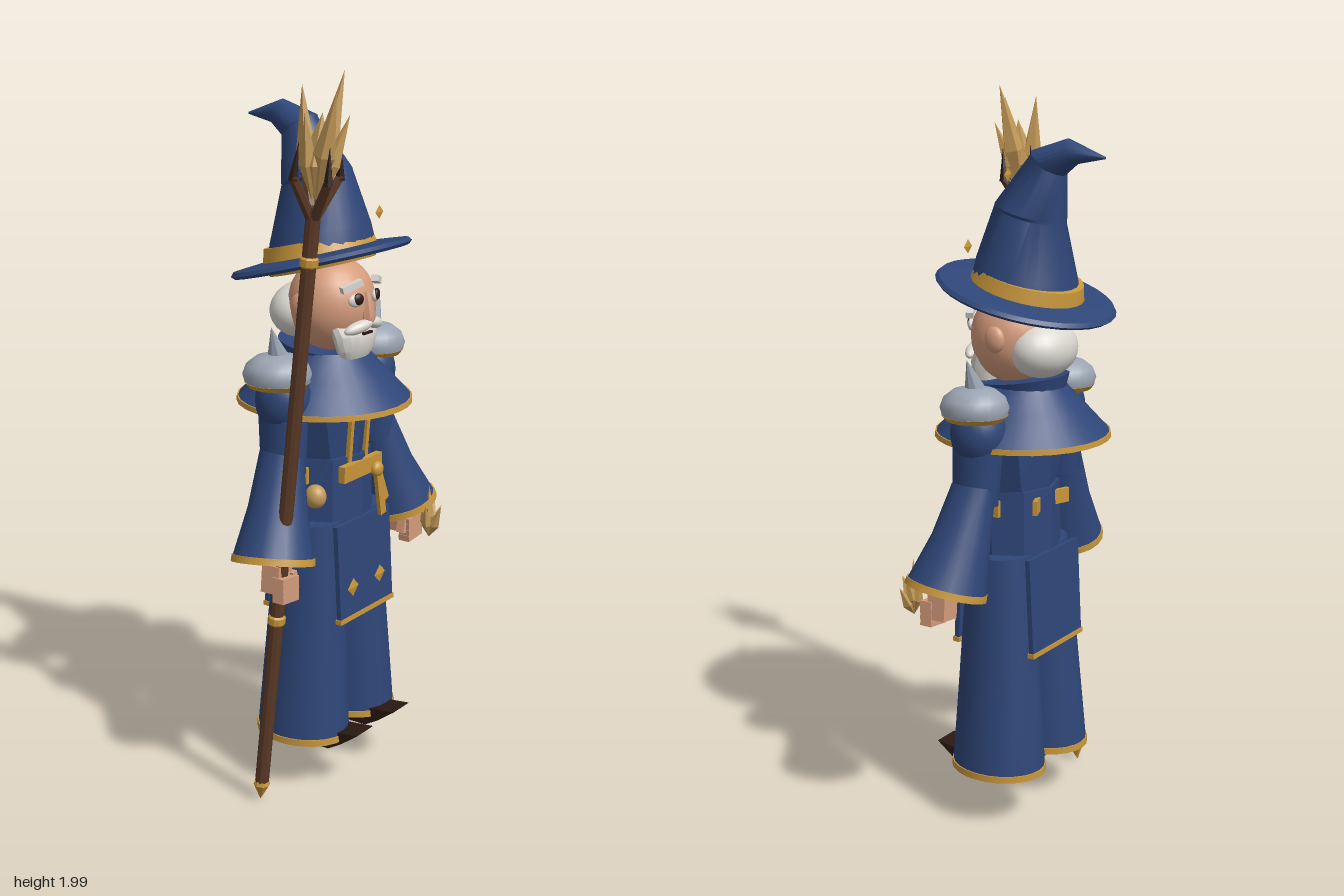
import * as THREE from 'three';
import { toCreasedNormals } from 'three/addons/utils/BufferGeometryUtils.js';

const material = (name, color) => {
  const m = new THREE.MeshStandardMaterial({ color });
  m.name = name;
  return m;
};
const V = (x, y, z) => new THREE.Vector3(x, y, z);

// Closed skin over elliptical rings, each [x, y, z, radiusX, radiusZ, tiltX, tiltZ], bottom to top
function loft(rings, sides = 24, crease = 0.6) {
  const pos = [], idx = [], n = sides;
  rings.forEach(([x, y, z, rx, rz, tx = 0, tz = 0]) => {
    const e = new THREE.Euler(tx, 0, tz);
    for (let i = 0; i < n; i++) {
      const t = (i / n) * Math.PI * 2;
      pos.push(...V(rx * Math.sin(t), 0, rz * Math.cos(t)).applyEuler(e).add(V(x, y, z)));
    }
  });
  const last = rings.length - 1, c0 = pos.length / 3;
  pos.push(...rings[0].slice(0, 3), ...rings[last].slice(0, 3));
  for (let i = 0; i < n; i++) {
    const j = (i + 1) % n;
    for (let k = 0; k < last; k++) {
      const a = k * n + i, b = k * n + j;
      idx.push(a, b, b + n, a, b + n, a + n);
    }
    idx.push(c0, j, i, c0 + 1, last * n + i, last * n + j);
  }
  const g = new THREE.BufferGeometry();
  g.setAttribute('position', new THREE.Float32BufferAttribute(pos, 3));
  g.setIndex(idx);
  return toCreasedNormals(g, crease);
}

export function createModel() {
  const root = new THREE.Group();
  const blue = material('robe blue', 0x2e4678);
  const gold = material('gold trim', 0xc8963a);
  const crystal = material('pale gold', 0xc49a58);
  const wood = material('brown wood', 0x5c3a27);
  const dark = material('dark leather', 0x2a1814);
  const skin = material('skin', 0xd59c7c);
  const steel = material('steel grey', 0x9aa4b2);
  const hair = material('white hair', 0xdad7d0);

  const add = (name, geo, mat, p = [0, 0, 0], r = [0, 0, 0], parent = root) => {
    const m = new THREE.Mesh(geo, mat);
    m.name = name;
    m.position.set(...p);
    m.rotation.set(...r);
    parent.add(m);
    return m;
  };
  const box = (name, size, mat, p, r, parent) => add(name, new THREE.BoxGeometry(...size), mat, p, r, parent);
  const ball = (name, size, mat, p, r) => {
    const m = add(name, new THREE.SphereGeometry(1, 24, 16), mat, p, r);
    m.scale.set(...size);
    return m;
  };
  // Straight piece turned around the line from a to b; profile holds [radius, fraction of length]
  const turned = (name, a, b, profile, mat, sides = 5, parent = root) => {
    const from = V(...a), d = V(...b).sub(from), len = d.length();
    const pts = profile.map(([r, f]) => new THREE.Vector2(r, f * len));
    const g = new THREE.LatheGeometry(pts, sides).toNonIndexed();
    g.computeVertexNormals();
    const m = add(name, g, mat, a, [0, 0, 0], parent);
    m.quaternion.setFromUnitVectors(V(0, 1, 0), d.normalize());
    return m;
  };
  const shard = (name, a, b, r, mat, parent) => turned(name, a, b, [[0, 0], [r, 0.42], [0, 1]], mat, 5, parent);
  const diamond = (name, p, s, r = [0, 0, 0]) => {
    const m = add(name, new THREE.OctahedronGeometry(s), gold, p, r);
    m.scale.z = 0.2;
  };

  // Torso, hips and straps
  add('hips', loft([[0, 0.77, 0, 0.135, 0.112], [0, 0.95, 0, 0.128, 0.108]], 8, 0.2), blue);
  add('chest', loft([[0, 0.93, 0, 0.12, 0.095], [0, 1.08, 0, 0.175, 0.11], [0, 1.2, -0.01, 0.13, 0.1]], 8, 0.2), blue);
  box('buckle', [0.18, 0.045, 0.02], gold, [0, 0.912, 0.105]);
  for (const s of [-1, 1]) {
    box('chestStrap', [0.014, 0.17, 0.012], gold, [s * 0.038, 1.015, 0.098], [0.08, 0, 0]);
    box('beltSidePlate', [0.012, 0.045, 0.06], gold, [s * 0.141, 0.91, 0]);
    box('beltBackPlate', [0.075, 0.04, 0.012], gold, [s * 0.05, 0.91, -0.094], [0, s * 0.36, 0]);
  }
  box('sashTailLong', [0.026, 0.15, 0.012], gold, [0.068, 0.835, 0.122], [0, 0, 0.18]);
  box('sashTailShort', [0.022, 0.11, 0.012], gold, [0.078, 0.85, 0.12], [0, 0, 0.4]);
  ball('sashKnot', [0.022, 0.022, 0.016], gold, [0.058, 0.895, 0.12]);
  ball('pouch', [0.028, 0.033, 0.03], crystal, [-0.147, 0.86, 0.06]);

  // Front and back skirt panels
  for (const s of [-1, 1]) {
    const panel = new THREE.Group();
    panel.name = s > 0 ? 'frontPanel' : 'backPanel';
    panel.position.set(0, 0.64, s * 0.116);
    panel.rotation.x = -s * 0.05;
    root.add(panel);
    box('panelCloth', [0.252, 0.27, 0.014], blue, [0, 0, 0], [0, 0, 0], panel);
    box('panelTrim', [0.258, 0.013, 0.02], gold, [0, -0.135, 0], [0, 0, 0], panel);
  }

  // Mantle and collar
  const mz = -0.015;
  add('mantle', loft([[0, 1.1, mz, 0.233, 0.236], [0, 1.17, mz, 0.168, 0.172], [0, 1.215, mz, 0.125, 0.13], [0, 1.235, mz, 0.108, 0.115]], 28), blue);
  add('mantleHem', loft([[0, 1.087, mz, 0.237, 0.241], [0, 1.101, mz, 0.236, 0.239]], 28), gold);
  add('collar', loft([[0, 1.2, -0.02, 0.1, 0.11], [0, 1.245, -0.025, 0.115, 0.12, 0.15]], 20), blue);

  for (const s of [-1, 1]) {
    // Robe leg, hem and shoe
    add('robeLeg', loft([[s * 0.112, 0.165, -0.008, 0.112, 0.134], [s * 0.1, 0.45, -0.005, 0.1, 0.115], [s * 0.088, 0.775, 0, 0.088, 0.092]]), blue);
    add('robeHem', loft([[s * 0.112, 0.152, -0.008, 0.116, 0.138], [s * 0.112, 0.17, -0.008, 0.115, 0.137]]), gold);
    const sole = new THREE.Shape([[0.05, 0.122], [-0.09, 0.122], [-0.135, 0.148], [-0.187, 0.186], [-0.115, 0.178], [0.05, 0.17]].map(p => new THREE.Vector2(...p)));
    add('shoe', new THREE.ExtrudeGeometry(sole, { depth: 0.08, bevelEnabled: false }), dark, [s * 0.092 - 0.04, 0, 0], [0, Math.PI / 2, 0]);
    diamond('panelDiamond', [s * 0.065, 0.59, 0.127], 0.026);

    // Arm with flared sleeve
    ball('shoulder', [0.075, 0.09, 0.075], blue, [s * 0.2, 1.13, -0.005]);
    add('upperArm', loft([[s * 0.21, 0.94, 0, 0.052, 0.065, 0, s * 0.15], [s * 0.2, 1.14, -0.005, 0.062, 0.072, 0, s * 0.1]], 18), blue);
    add('sleeve', loft([[s * 0.299, 0.726, 0.032, 0.105, 0.11, -0.12, s * 0.27], [s * 0.255, 0.85, 0.015, 0.078, 0.08, -0.1, s * 0.25], [s * 0.217, 0.99, 0, 0.05, 0.062, 0, s * 0.2]], 20), blue);
    add('sleeveHem', loft([[s * 0.303, 0.713, 0.034, 0.109, 0.114, -0.12, s * 0.27], [s * 0.298, 0.731, 0.032, 0.107, 0.112, -0.12, s * 0.27]], 20), gold);

    // Hand with fingers and thumb
    box('palm', [0.06, 0.075, 0.055], skin, [s * 0.303, 0.675, 0.045], [0, 0, s * 0.1]);
    for (let i = 0; i < 4; i++)
      box('finger', [0.07, 0.018, 0.035], skin, [s * 0.303, 0.625 + i * 0.017, 0.075], [0, 0, s * 0.1]);
    box('thumb', [0.018, 0.05, 0.025], skin, [s * 0.267, 0.665, 0.07], [0, 0, -s * 0.2]);

    // Shoulder guard with spike
    add('shoulderGuard', loft([[s * 0.222, 1.183, -0.008, 0.082, 0.086], [s * 0.222, 1.205, -0.008, 0.09, 0.092], [s * 0.222, 1.23, -0.008, 0.08, 0.083], [s * 0.222, 1.25, -0.008, 0.055, 0.058], [s * 0.222, 1.259, -0.008, 0.02, 0.02]], 24, 1), steel);
    add('guardRim', loft([[s * 0.222, 1.172, -0.008, 0.074, 0.078], [s * 0.222, 1.186, -0.008, 0.085, 0.089]]), gold);
    turned('guardSpike', [s * 0.218, 1.245, -0.008], [s * 0.252, 1.335, -0.004], [[0.03, 0], [0, 1]], steel, 8);

    // Ears, eyes, brows and moustache
    ball('ear', [0.018, 0.036, 0.03], skin, [s * 0.123, 1.365, -0.005]);
    ball('eyeWhite', [0.025, 0.018, 0.01], hair, [s * 0.045, 1.383, 0.119], [0, s * 0.35, 0]);
    ball('pupil', [0.017, 0.016, 0.009], dark, [s * 0.043, 1.386, 0.124], [0, s * 0.35, 0]);
    box('eyebrow', [0.062, 0.017, 0.02], hair, [s * 0.058, 1.422, 0.113], [0, s * 0.45, -s * 0.3]);
    ball('moustache', [0.046, 0.016, 0.018], hair, [s * 0.038, 1.31, 0.122], [0, s * 0.35, -s * 0.22]);
  }

  // Head, hair, nose and beard
  ball('head', [0.122, 0.128, 0.118], skin, [0, 1.357, 0.01]);
  ball('backHair', [0.112, 0.078, 0.085], hair, [0, 1.33, -0.08]);
  add('nose', loft([[0, 1.32, 0.126, 0.02, 0.018], [0, 1.34, 0.128, 0.021, 0.02], [0, 1.4, 0.118, 0.01, 0.012]], 8), skin);
  add('beard', loft([[0, 1.215, 0.083, 0.055, 0.025], [0, 1.245, 0.087, 0.075, 0.036], [0, 1.285, 0.083, 0.086, 0.042], [0, 1.315, 0.07, 0.09, 0.038]], 16), hair);
  box('mouth', [0.04, 0.006, 0.008], dark, [0, 1.289, 0.124]);

  // Hat: tilted brim, band and bent crown
  const hat = new THREE.Group();
  hat.name = 'hatBrim';
  hat.position.set(0, 1.472, -0.025);
  hat.rotation.x = -0.25;
  root.add(hat);
  add('brim', loft([[0, -0.008, 0, 0.238, 0.238], [0, 0, 0, 0.246, 0.246], [0, 0.01, 0, 0.238, 0.238], [0, 0.018, 0, 0.16, 0.16]], 32), blue, [0, 0, 0], [0, 0, 0], hat);
  add('hatBand', loft([[0, -0.02, 0, 0.145, 0.145], [0, 0.01, 0, 0.157, 0.157], [0, 0.055, 0, 0.145, 0.145]], 28), gold, [0, 0, 0], [0, 0, 0], hat);
  add('hatCrown', loft([
    [0, 1.48, -0.025, 0.15, 0.15, -0.25], [0, 1.54, -0.028, 0.139, 0.138, -0.25],
    [0, 1.685, -0.038, 0.09, 0.1, -0.25], [0, 1.693, -0.04, 0.094, 0.098, -0.25],
    [0, 1.815, -0.093, 0.05, 0.055, -0.5], [0, 1.822, -0.097, 0.052, 0.056, -0.55],
    [0, 1.852, -0.165, 0.033, 0.035, -1.15], [0, 1.84, -0.262, 0.003, 0.003, -1.6]]), blue);
  diamond('hatStar', [-0.07, 1.705, 0.074], 0.019);
  diamond('hatStar', [0.042, 1.787, 0.005], 0.018);
  diamond('hatStar', [0.083, 1.597, 0.104], 0.019);

  // Staff, leaning forward
  const staff = new THREE.Group();
  staff.name = 'staff';
  staff.position.set(-0.305, 0.01, -0.016);
  staff.rotation.x = 0.112;
  root.add(staff);
  turned('shaft', [0, 0.05, 0], [0, 1.67, 0], [[0.019, 0], [0.019, 1], [0, 1]], wood, 10, staff);
  turned('ferrule', [0, 0, 0], [0, 0.06, 0], [[0, 0], [0.023, 0.8], [0.019, 1]], gold, 8, staff);
  for (const y of [0.535, 1.515])
    turned('collarRing', [0, y, 0], [0, y + 0.03, 0], [[0.018, 0], [0.024, 0.2], [0.024, 0.8], [0.018, 1]], gold, 10, staff);
  for (let i = 0; i < 4; i++) {
    const a = 0.5 + i * Math.PI / 2;
    const at = (r, y) => [r * Math.cos(a), y, r * Math.sin(a)];
    turned('prongLower', at(0.008, 1.645), at(0.065, 1.745), [[0.014, 0], [0.012, 1], [0, 1]], wood, 6, staff);
    turned('prongUpper', at(0.064, 1.735), at(0.056, 1.83), [[0.013, 0], [0, 1]], dark, 6, staff);
  }
  [[0.06, 2.0, 0.012, 0.03], [-0.028, 1.965, 0.055, 0.03], [-0.01, 1.96, -0.06, 0.028], [-0.045, 1.9, -0.02, 0.026], [0.045, 1.9, 0.05, 0.024], [0, 1.9, 0, 0.045]]
    .forEach(([x, y, z, r]) => shard('staffCrystal', [x * 0.15, 1.685, z * 0.15], [x, y, z], r, crystal, staff));

  // Crystal cluster held in the left hand
  [[0.3, 0.785, 0.14], [0.27, 0.73, 0.145], [0.335, 0.75, 0.135], [0.29, 0.73, 0.185], [0.35, 0.715, 0.15], [0.31, 0.74, 0.11]]
    .forEach(p => shard('handCrystal', [0.302, 0.63, 0.138], p, 0.017, crystal));
  return root;
}
